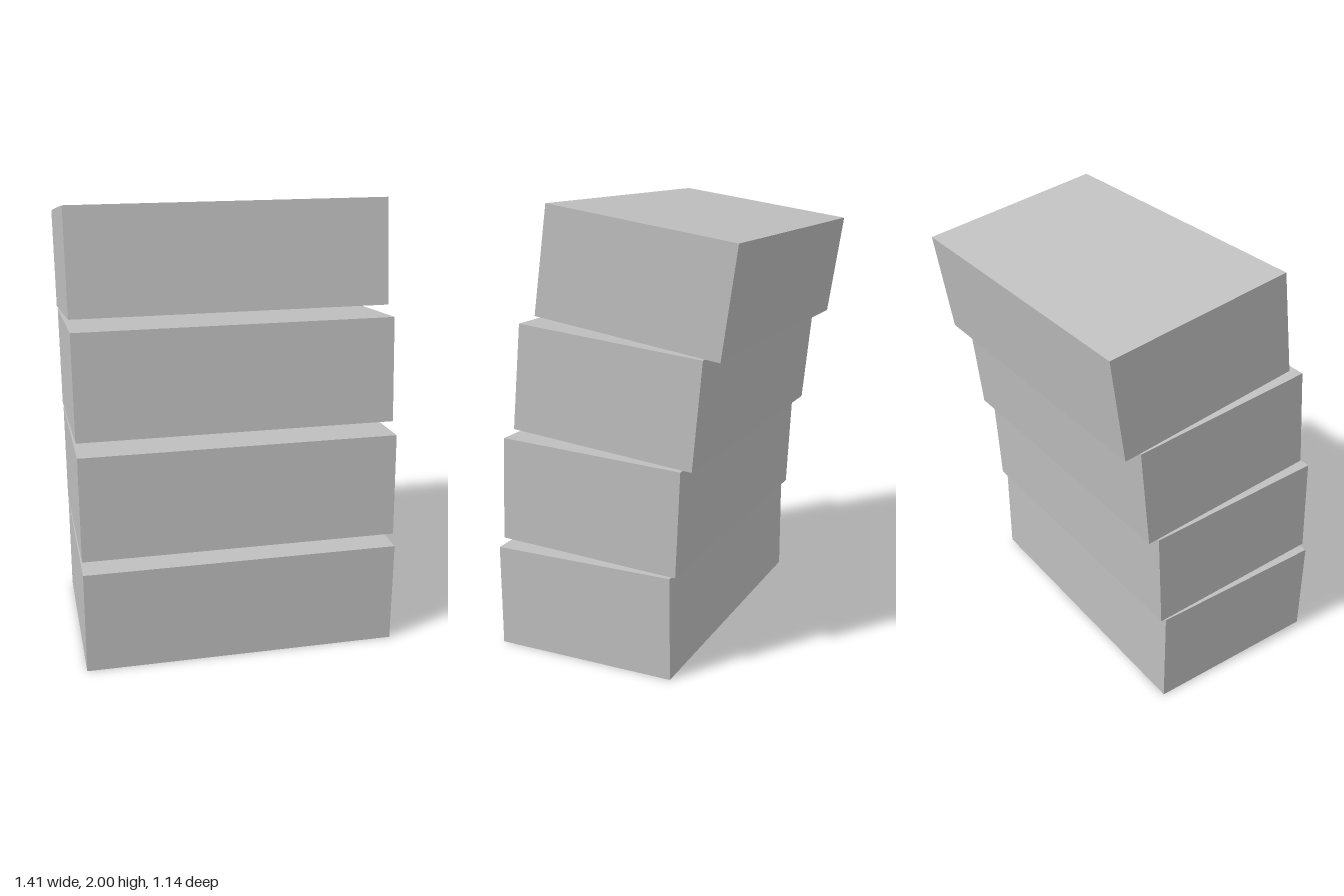
import * as THREE from 'three';

export function createModel() {
  const group = new THREE.Group();
  group.name = 'leaningStack';

  const grey = new THREE.MeshStandardMaterial({ color: 0xbfbfbf });
  grey.name = 'grey';

  // one block shape, shared by all four layers
  const block = new THREE.BoxGeometry(1.41, 0.468, 0.847);

  // centre height, centre z and backward lean of each layer, bottom to top
  const layers = [
    [0.235, 0.147, 0],
    [0.732, 0.109, 0.05],
    [1.225, 0.022, 0.1],
    [1.706, -0.1125, 0.15],
  ];
  layers.forEach(([y, z, lean], i) => {
    const mesh = new THREE.Mesh(block, grey);
    mesh.name = `block${i + 1}`;
    mesh.position.set(0, y, z);
    mesh.rotation.x = -lean;
    group.add(mesh);
  });

  return group;
}
